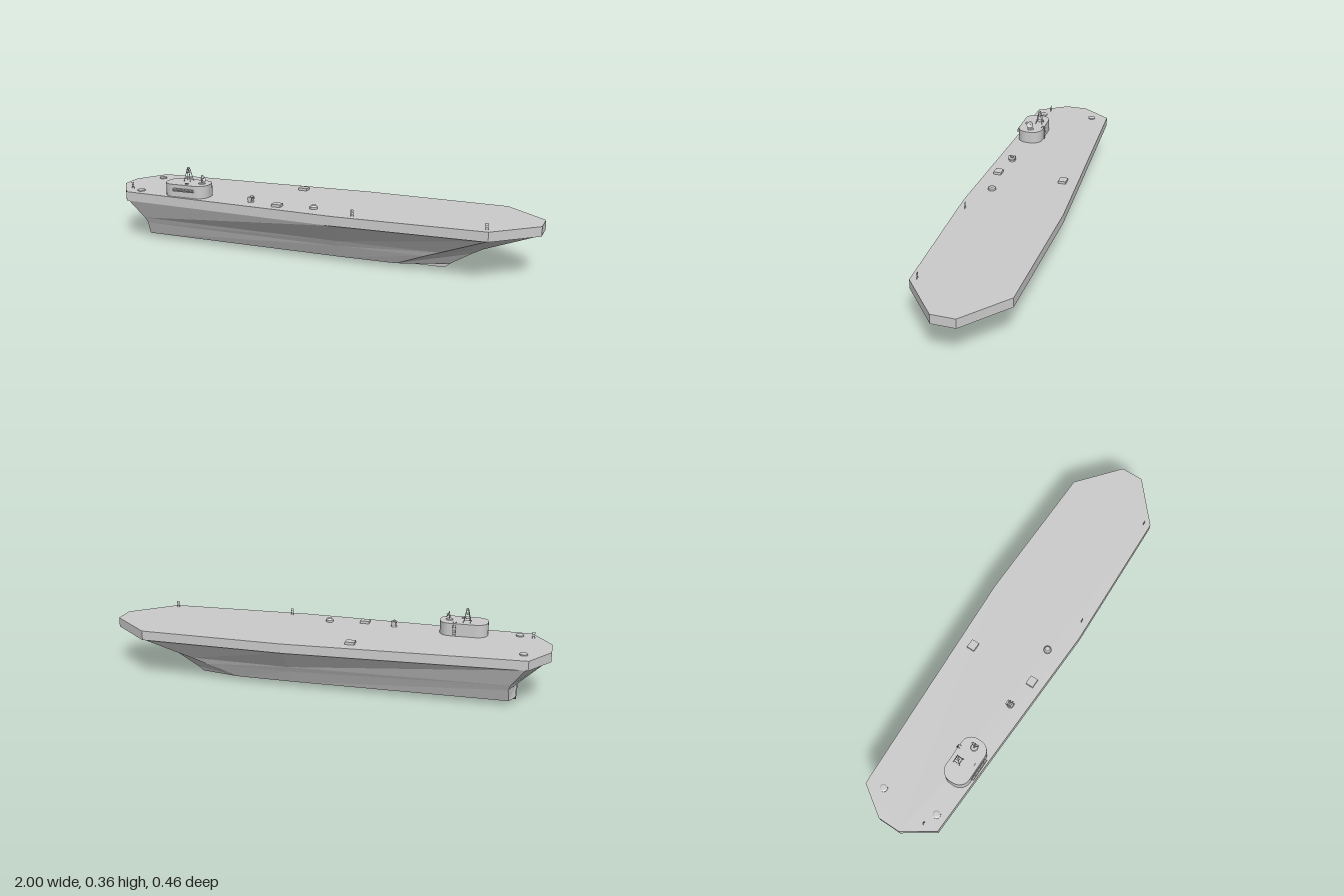
import * as THREE from 'three';

const DECK = 0.235;
const ROOF = 0.293;
const grey = new THREE.MeshStandardMaterial({ color: 0xcccccc, flatShading: true, side: THREE.DoubleSide });

function add(parent, name, geometry, x = 0, y = 0, z = 0) {
  const mesh = new THREE.Mesh(geometry, grey);
  mesh.name = name;
  mesh.position.set(x, y, z);
  parent.add(mesh);
  return mesh;
}

function group(parent, name, x = 0, y = 0, z = 0) {
  const g = new THREE.Group();
  g.name = name;
  g.position.set(x, y, z);
  parent.add(g);
  return g;
}

// Thin round bar between two points
function bar(parent, name, a, b, r = 0.0012) {
  const from = new THREE.Vector3(...a), to = new THREE.Vector3(...b);
  const mesh = add(parent, name, new THREE.CylinderGeometry(r, r, from.distanceTo(to), 6));
  mesh.position.copy(from).add(to).multiplyScalar(0.5);
  mesh.quaternion.setFromUnitVectors(new THREE.Vector3(0, 1, 0), to.sub(from).normalize());
  return mesh;
}

// Loft between waterlines; each level is { y, half: [[x, half width], ...] } from stern to bow
function loftLevels(levels) {
  const pos = [], idx = [];
  const n = levels[0].half.length * 2;
  for (const { y, half } of levels) {
    half.forEach(([x, z]) => pos.push(x, y, z));
    [...half].reverse().forEach(([x, z]) => pos.push(x, y, -z));
  }
  for (let l = 0; l < levels.length - 1; l++) {
    for (let i = 0; i < n; i++) {
      const j = (i + 1) % n, a = l * n, b = a + n;
      idx.push(a + i, a + j, b + j, a + i, b + j, b + i);
    }
  }
  const top = (levels.length - 1) * n;
  for (let i = 1; i < n - 1; i++) {
    idx.push(0, i + 1, i);
    idx.push(top, top + i, top + i + 1);
  }
  const geo = new THREE.BufferGeometry();
  geo.setAttribute('position', new THREE.Float32BufferAttribute(pos, 3));
  geo.setIndex(idx);
  const flat = geo.toNonIndexed();
  flat.computeVertexNormals();
  return flat;
}

// Low dome on a short round base
function dome(parent, x, z, height) {
  const g = group(parent, 'deckDome', x, DECK, z);
  add(g, 'domeBase', new THREE.CylinderGeometry(0.018, 0.018, height * 0.6, 12), 0, height * 0.3, 0);
  add(g, 'domeCap', new THREE.CylinderGeometry(0.011, 0.017, height * 0.4, 12), 0, height * 0.8, 0);
}

// Pair of posts with rungs at the deck edge
function deckPosts(parent, x, z) {
  const g = group(parent, 'deckPosts', x, DECK, z);
  for (const s of [-1, 1]) bar(g, 'post', [s * 0.005, 0, 0], [s * 0.005, 0.03, 0]);
  for (const y of [0.01, 0.02, 0.029]) bar(g, 'rung', [-0.005, y, 0], [0.005, y, 0]);
}

function createIsland(parent) {
  const island = group(parent, 'island');

  // Rounded-plan deckhouse with faceted corners
  const w = 0.108, d = 0.06, r = 0.05;
  const plan = new THREE.Shape();
  plan.moveTo(-w + r, -d);
  plan.lineTo(w - r, -d);
  plan.absarc(w - r, -d + r, r, -Math.PI / 2, 0);
  plan.absarc(w - r, d - r, r, 0, Math.PI / 2);
  plan.absarc(-w + r, d - r, r, Math.PI / 2, Math.PI);
  plan.absarc(-w + r, -d + r, r, Math.PI, Math.PI * 1.5);
  const body = new THREE.ExtrudeGeometry(plan, { depth: ROOF - DECK, bevelEnabled: false, curveSegments: 3 });
  body.rotateX(-Math.PI / 2);
  add(island, 'deckhouse', body, -0.607, DECK, 0.125);

  // Row of drums on a shelf along the outer wall
  add(island, 'drumShelf', new THREE.BoxGeometry(0.105, 0.002, 0.014), -0.603, 0.265, 0.191);
  for (let i = 0; i < 5; i++) {
    const drum = add(island, 'drum', new THREE.CylinderGeometry(0.006, 0.006, 0.017, 8), -0.645 + i * 0.021, 0.272, 0.192);
    drum.rotation.z = Math.PI / 2;
  }

  // Lattice mast
  const mast = group(island, 'mast', -0.622, ROOF, 0.1);
  const corners = [[1, 1], [-1, 1], [-1, -1], [1, -1]];
  const at = ([sx, sz], t) => [sx * (0.016 - 0.012 * t), 0.06 * t, sz * (0.016 - 0.012 * t)];
  corners.forEach((c, i) => {
    bar(mast, 'mastLeg', at(c, 0), at(c, 1), 0.0015);
    for (const t of [0.22, 0.68]) bar(mast, 'mastBrace', at(c, t), at(corners[(i + 1) % 4], t));
  });
  add(mast, 'mastHead', new THREE.SphereGeometry(0.006, 10, 6), 0, 0.061, 0);

  // Dish antenna facing the bow, tilted upward
  const dish = group(island, 'dishAntenna', -0.54, ROOF, 0.125);
  add(dish, 'dishFoot', new THREE.CylinderGeometry(0.014, 0.016, 0.004, 12), 0, 0.002, 0);
  bar(dish, 'dishPole', [0, 0, 0], [0, 0.022, 0], 0.003);
  const head = group(dish, 'dishHead', 0.002, 0.022, 0);
  head.rotation.z = -Math.PI / 2 + 0.5;
  const profile = [[0, 0], [0.009, 0.002], [0.017, 0.007]].map(p => new THREE.Vector2(...p));
  add(head, 'dishBowl', new THREE.LatheGeometry(profile, 14));
  bar(head, 'dishFeed', [0, 0, 0], [0, 0.014, 0]);

  add(island, 'roofHatch', new THREE.CylinderGeometry(0.009, 0.009, 0.005, 10), -0.6, ROOF + 0.002, 0.16);

  // Ladder on the inner wall with rails curling over the roof
  const ladder = group(island, 'ladder', -0.57, 0, 0.065);
  for (const s of [-1, 1]) {
    const rail = new THREE.CatmullRomCurve3([[DECK, -0.006], [0.285, -0.006], [0.298, -0.002], [0.301, 0.004], [ROOF, 0.011]]
      .map(([y, z]) => new THREE.Vector3(s * 0.006, y, z)));
    add(ladder, 'ladderRail', new THREE.TubeGeometry(rail, 16, 0.001, 5));
  }
  for (let y = 0.243; y < 0.29; y += 0.009) bar(ladder, 'ladderRung', [-0.006, y, -0.006], [0.006, y, -0.006], 0.0008);
}

function createMount(parent) {
  // Swivelling twin-drum mount
  const mount = group(parent, 'deckMount', -0.285, DECK, 0.14);
  add(mount, 'mountBase', new THREE.CylinderGeometry(0.013, 0.015, 0.006, 12), 0, 0.003, 0);
  add(mount, 'mountBody', new THREE.BoxGeometry(0.014, 0.014, 0.022), 0, 0.012, 0);
  for (const s of [-1, 1]) {
    const drum = add(mount, 'mountDrum', new THREE.CylinderGeometry(0.011, 0.011, 0.007, 12), 0, 0.016, s * 0.0125);
    drum.rotation.x = Math.PI / 2;
    bar(mount, 'mountTube', [-0.012, 0.02, s * 0.005], [0.014, 0.024, s * 0.005], 0.0025);
  }
}

export function createModel() {
  const ship = new THREE.Group();
  ship.name = 'ship';

  // Hull with a flat keel, a chine, a knuckle and a flared bow
  add(ship, 'hull', loftLevels([
    { y: 0, half: [[-0.862, 0.033], [-0.835, 0.036], [0.135, 0.036], [0.39, 0.035], [0.59, 0.033]] },
    { y: 0.02, half: [[-0.862, 0.06], [-0.835, 0.112], [0.135, 0.12], [0.395, 0.115], [0.615, 0.034]] },
    { y: 0.078, half: [[-0.862, 0.055], [-0.832, 0.135], [0.135, 0.148], [0.53, 0.143], [0.71, 0.038]] },
    { y: 0.105, half: [[-0.89, 0.054], [-0.84, 0.148], [0.135, 0.163], [0.6, 0.153], [0.76, 0.041]] },
    { y: 0.192, half: [[-0.985, 0.05], [-0.9, 0.184], [0.14, 0.226], [0.805, 0.206], [0.99, 0.05]] },
  ]));

  // Flight deck slab
  const outline = [[-1, 0.052], [-0.91, 0.187], [0.15, 0.23], [0.81, 0.212], [1, 0.052]];
  add(ship, 'flightDeck', loftLevels([{ y: 0.192, half: outline }, { y: DECK, half: outline }]));

  createIsland(ship);
  createMount(ship);

  // Deck fittings
  for (const z of [-0.15, 0.163]) add(ship, 'deckBox', new THREE.BoxGeometry(0.042, 0.012, 0.036), -0.145, DECK + 0.006, z);
  dome(ship, 0.02, 0.14, 0.016);
  dome(ship, -0.885, -0.11, 0.009);
  dome(ship, -0.855, 0.143, 0.009);
  deckPosts(ship, -0.915, 0.12);
  deckPosts(ship, 0.22, 0.197);
  deckPosts(ship, 0.797, 0.183);

  return ship;
}
